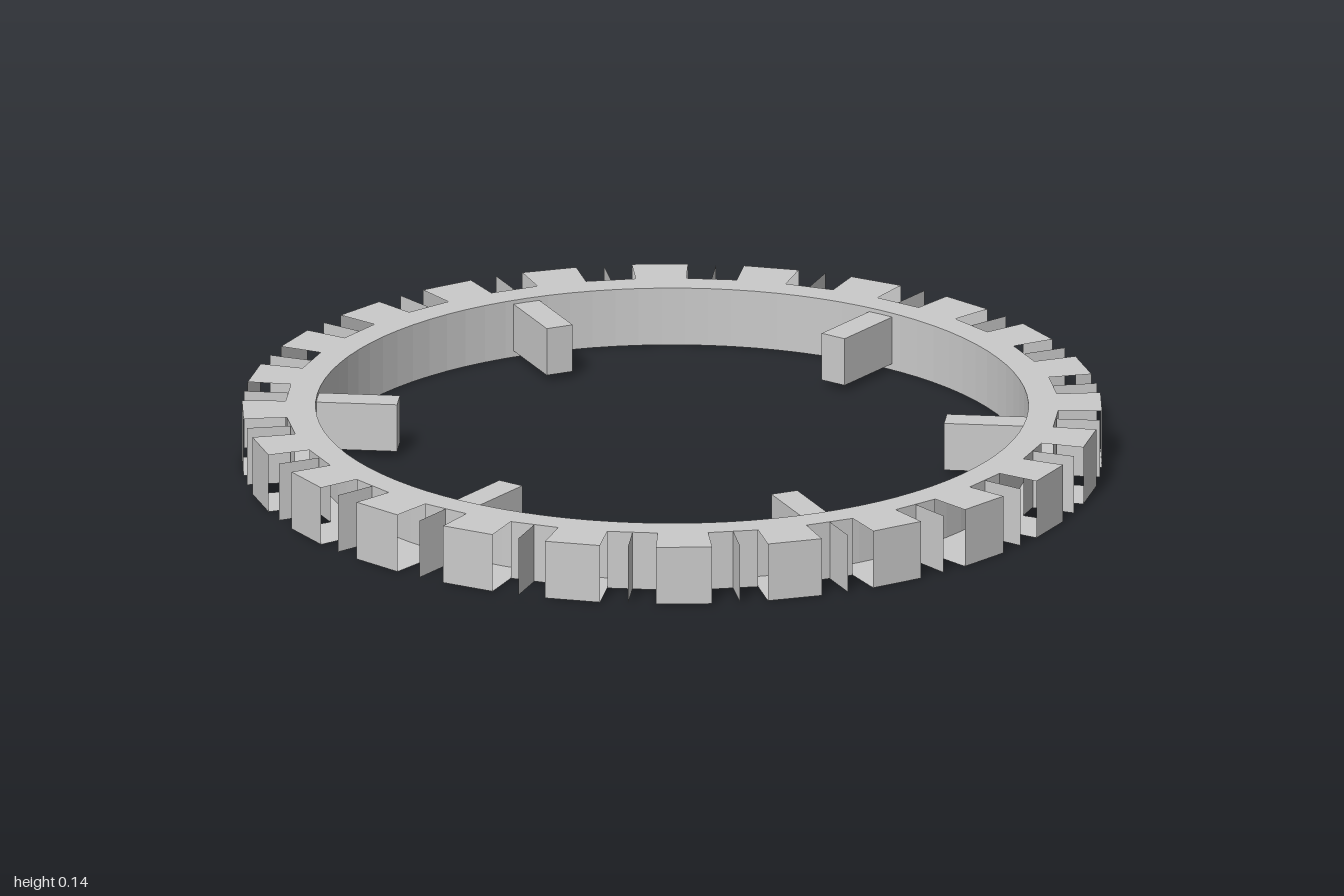
import * as THREE from 'three';
import { mergeGeometries } from 'three/addons/utils/BufferGeometryUtils.js';

const TEETH = 24, PITCH = (Math.PI * 2) / TEETH;
const OUTER = 1.002, ROOT = 0.9, BORE = 0.83, HEIGHT = 0.14;
const BORE_SIDES = 96;

// Angle 0 points to the front (+z), growing towards +x
const polar = (a, r) => [r * Math.sin(a), r * Math.cos(a)];

// Upright flat panel between two polar points, facing outward when a1 > a0
function panel(a0, r0, a1, r1) {
  const [x0, z0] = polar(a0, r0), [x1, z1] = polar(a1, r1);
  const g = new THREE.BufferGeometry();
  g.setAttribute('position', new THREE.Float32BufferAttribute(
    [x0, 0, z0, x1, 0, z1, x1, HEIGHT, z1, x0, HEIGHT, z0], 3));
  g.setIndex([0, 1, 2, 0, 2, 3]);
  g.computeVertexNormals();
  return g;
}

export function createModel() {
  const model = new THREE.Group();
  model.name = 'toothedRing';
  // The walls are open sheets, so both sides show
  const grey = new THREE.MeshStandardMaterial({ color: 0xcacaca, side: THREE.DoubleSide });
  grey.name = 'grey';
  const add = (name, geometry) => {
    const mesh = new THREE.Mesh(geometry, grey);
    mesh.name = name;
    model.add(mesh);
    return mesh;
  };

  // Toothed outline with a round bore, used for both flat faces
  const outline = [], tips = [], roots = [], fins = [];
  for (let i = 0; i < TEETH; i++) {
    const a = i * PITCH, start = a + PITCH / 4, end = a + PITCH * 0.75;
    for (const [angle, r] of [[start, ROOT], [start, OUTER], [end, OUTER], [end, ROOT]])
      outline.push(new THREE.Vector2(...polar(angle, r)));
    tips.push(panel(start, OUTER, end, OUTER));
    roots.push(panel(end, ROOT, start + PITCH, ROOT));
    // thin radial fin in the middle of each gap
    fins.push(panel(a, ROOT, a, OUTER));
  }
  const shape = new THREE.Shape(outline);
  const bore = [], boreWall = [];
  for (let i = 0; i < BORE_SIDES; i++) {
    const a = (i / BORE_SIDES) * Math.PI * 2, b = ((i + 1) / BORE_SIDES) * Math.PI * 2;
    bore.push(new THREE.Vector2(...polar(a, BORE)));
    boreWall.push(panel(b, BORE, a, BORE));
  }
  shape.holes.push(new THREE.Path(bore));
  add('topFace', new THREE.ShapeGeometry(shape).rotateX(-Math.PI / 2).translate(0, HEIGHT, 0));
  add('bottomFace', new THREE.ShapeGeometry(shape).rotateX(Math.PI / 2));

  // Upright walls
  add('toothTips', mergeGeometries(tips));
  add('gapFloors', mergeGeometries(roots));
  add('gapFins', mergeGeometries(fins));
  add('boreWall', mergeGeometries(boreWall));

  // Six short inward lugs
  const inner = 0.64, lugEnd = 0.843;
  for (let i = 0; i < 6; i++) {
    const lug = new THREE.BoxGeometry(lugEnd - inner, 0.115, 0.066);
    lug.translate((inner + lugEnd) / 2, HEIGHT / 2 + 0.003, 0);
    add('innerLug' + (i + 1), lug).rotation.y = (i * Math.PI) / 3;
  }
  return model;
}
